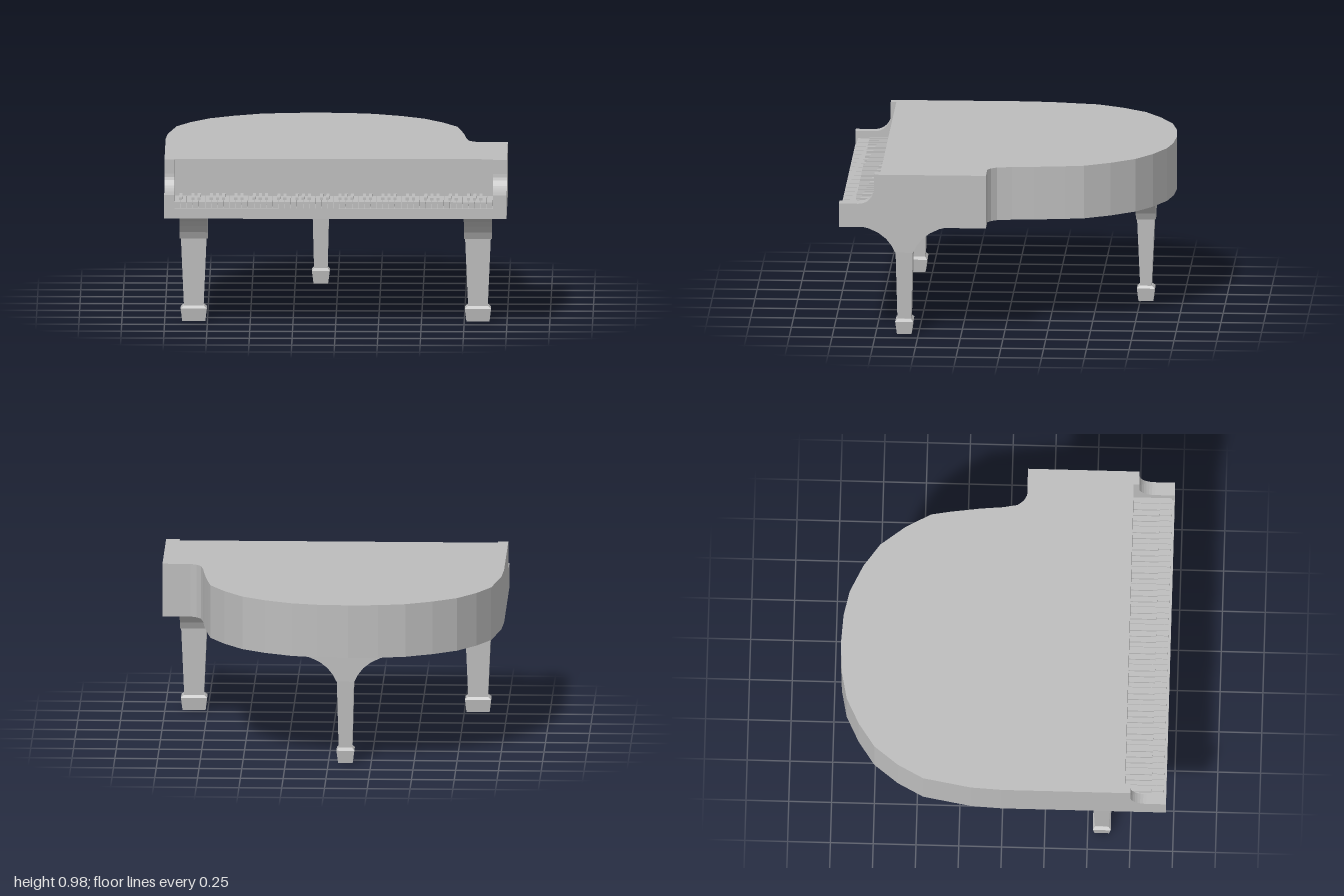
import * as THREE from 'three';

const grey = new THREE.MeshStandardMaterial({ color: 0xbcbcbc });
grey.name = 'plain grey';

function add(parent, name, geometry, x = 0, y = 0, z = 0) {
  const mesh = new THREE.Mesh(geometry, grey);
  mesh.name = name;
  mesh.position.set(x, y, z);
  parent.add(mesh);
  return mesh;
}

// Box given by its minimum and maximum corners
function block(parent, name, x0, x1, y0, y1, z0, z1) {
  return add(parent, name, new THREE.BoxGeometry(x1 - x0, y1 - y0, z1 - z0),
    (x0 + x1) / 2, (y0 + y1) / 2, (z0 + z1) / 2);
}

// Four-sided post whose width and depth change from bottom to top
function taper(parent, name, y0, y1, w0, d0, w1, d1) {
  const g = new THREE.BoxGeometry(1, y1 - y0, 1);
  const p = g.attributes.position;
  for (let i = 0; i < p.count; i++) {
    const top = p.getY(i) > 0;
    p.setX(i, p.getX(i) * (top ? w1 : w0));
    p.setZ(i, p.getZ(i) * (top ? d1 : d0));
  }
  const flat = g.toNonIndexed();
  flat.computeVertexNormals();
  return add(parent, name, flat, 0, (y0 + y1) / 2, 0);
}

function extrude(points, depth) {
  const shape = new THREE.Shape(points.map(([a, b]) => new THREE.Vector2(a, b)));
  return new THREE.ExtrudeGeometry(shape, { depth, bevelEnabled: false });
}

// Leg with a bracket flaring along local x; depth is the width along local z
function makeLeg(name, x, z, depth, turn) {
  const leg = new THREE.Group();
  leg.name = name;
  taper(leg, 'foot', 0, 0.075, 0.085, depth - 0.015, 0.105, depth + 0.003);
  taper(leg, 'footCollar', 0.075, 0.09, 0.105, depth + 0.003, 0.08, depth - 0.03);
  taper(leg, 'shaft', 0.09, 0.49, 0.08, depth - 0.035, 0.1, depth);
  const half = [[0.052, 0.49], [0.072, 0.53], [0.105, 0.572], [0.15, 0.607],
    [0.205, 0.633], [0.267, 0.648], [0.267, 0.66]];
  const profile = [...half, ...half.map(([a, b]) => [-a, b]).reverse()];
  const width = depth + 0.014;
  add(leg, 'bracket', extrude(profile, width), 0, 0, -width / 2);
  leg.position.set(x, 0, z);
  leg.rotation.y = turn;
  return leg;
}

export function createModel() {
  const piano = new THREE.Group();
  piano.name = 'grandPiano';

  // Case with rounded tail and a waist on its left side, as x, z
  const outline = [[-1, 0.72], [-1, 0], [-0.99, -0.18], [-0.94, -0.46], [-0.86, -0.61],
    [-0.75, -0.75], [-0.61, -0.845], [-0.455, -0.92], [-0.295, -0.952], [-0.12, -0.963],
    [0.06, -0.952], [0.21, -0.92], [0.37, -0.845], [0.505, -0.75], [0.615, -0.61],
    [0.7, -0.46], [0.72, -0.35], [0.745, -0.17], [0.757, -0.04], [0.773, 0.045],
    [0.8, 0.08], [0.835, 0.1], [1, 0.1], [1, 0.72]];
  const body = extrude(outline.map(([x, z]) => [x, -z]).reverse(), 0.315);
  body.rotateX(-Math.PI / 2);
  add(piano, 'case', body, 0, 0.66, 0);

  // Arms beside the keyboard, profile as z, y
  const arm = [[0.72, 0.66], [0.96, 0.66], [0.96, 0.8]];
  for (let i = 0; i <= 8; i++) {
    const a = (i / 8) * Math.PI / 2;
    arm.push([0.845 - 0.092 * Math.sin(a), 0.892 - 0.092 * Math.cos(a)]);
  }
  arm.push([0.753, 0.975], [0.72, 0.975]);
  const x0 = -0.94, x1 = 0.92;
  for (const [name, from, to] of [['rightArm', -1, x0], ['leftArm', x1, 1]]) {
    const g = extrude(arm, to - from);
    g.rotateY(-Math.PI / 2);
    add(piano, name, g, to, 0, 0);
  }

  // Key bed and keys, with the twelve-note pattern starting on A
  block(piano, 'keyBed', x0, x1, 0.66, 0.72, 0.72, 0.96);
  const keys = new THREE.Group();
  keys.name = 'keyboard';
  piano.add(keys);
  const pitch = (x1 - x0) / 52;
  const sharpAfter = [1, 0, 1, 1, 0, 1, 1];
  for (let i = 0; i < 52; i++) {
    const x = x0 + i * pitch;
    block(keys, 'naturalKey', x + 0.0015, x + pitch - 0.0015, 0.72, 0.757, 0.72, 0.945);
    if (sharpAfter[i % 7] && i < 51) {
      const c = x + pitch;
      block(keys, 'sharpKey', c - 0.009, c + 0.009, 0.735, 0.772, 0.72, 0.875);
    }
  }

  // Two front legs and one tail leg
  piano.add(makeLeg('rightFrontLeg', -0.83, 0.583, 0.15, Math.PI / 2));
  piano.add(makeLeg('leftFrontLeg', 0.83, 0.583, 0.15, Math.PI / 2));
  piano.add(makeLeg('tailLeg', -0.1, -0.783, 0.102, 0));
  return piano;
}
